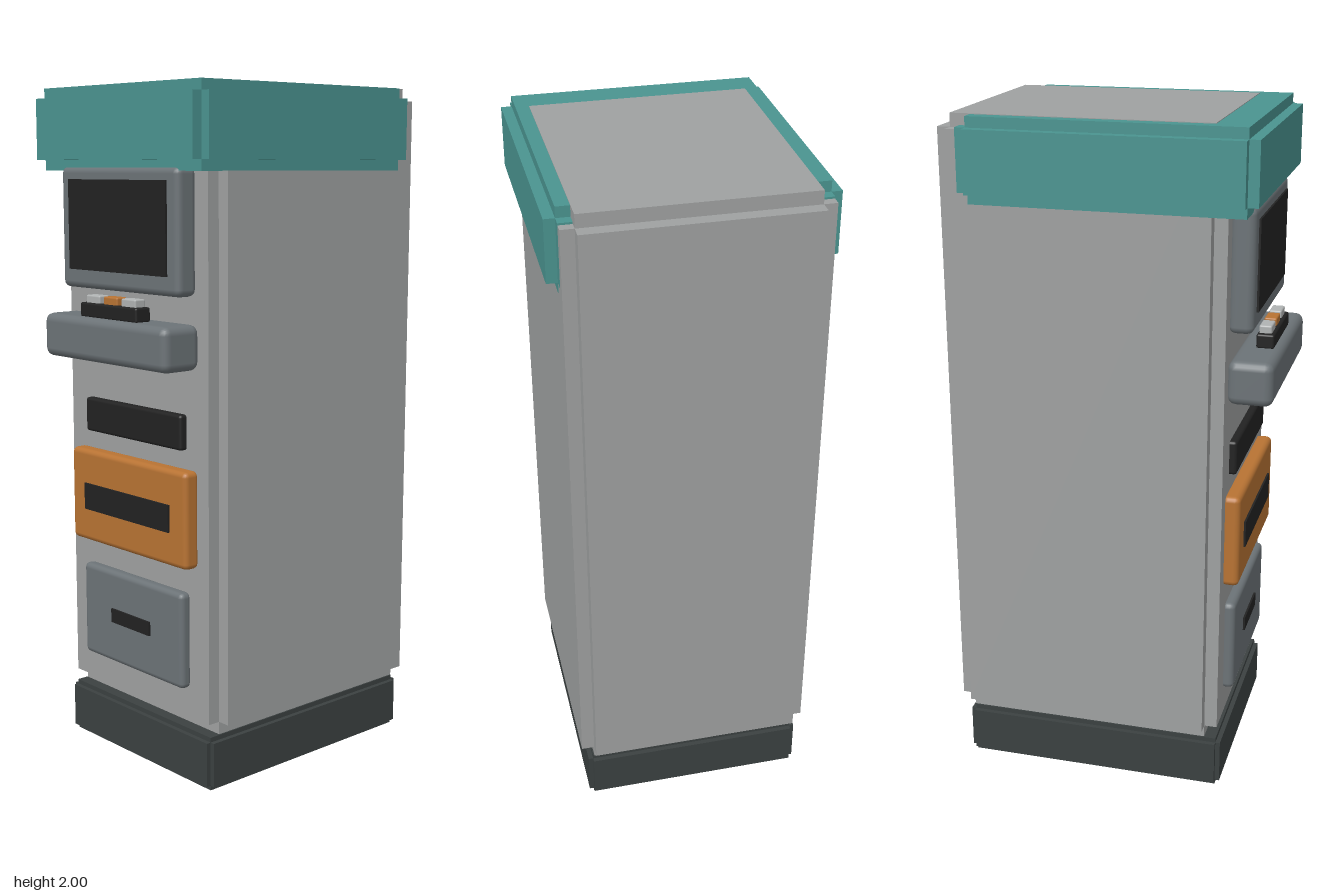
import * as THREE from 'three';
import { RoundedBoxGeometry } from 'three/addons/geometries/RoundedBoxGeometry.js';

const mat = (name, color) => Object.assign(new THREE.MeshStandardMaterial({ color }), { name });

export function createModel() {
  const root = new THREE.Group();
  root.name = 'serviceKiosk';
  const grey = mat('casing grey', 0x9fa1a1);
  const teal = mat('canopy teal', 0x4a9490);
  const steel = mat('panel grey', 0x6c7377);
  const orange = mat('tray orange', 0xb87333);
  const charcoal = mat('plinth charcoal', 0x3b4141);
  const black = mat('screen black', 0x222222);
  const pale = mat('button grey', 0xb0b3b3);

  // Box given by its limits on each axis; a radius rounds its edges
  function box(parent, name, material, [x0, x1], [y0, y1], [z0, z1], radius = 0) {
    const size = [x1 - x0, y1 - y0, z1 - z0];
    const geo = radius
      ? new RoundedBoxGeometry(...size, 2, radius)
      : new THREE.BoxGeometry(...size);
    const mesh = new THREE.Mesh(geo, material);
    mesh.name = name;
    mesh.position.set((x0 + x1) / 2, (y0 + y1) / 2, (z0 + z1) / 2);
    parent.add(mesh);
  }

  // Block with stepped edges: three crossing boxes, each full size on one axis
  function stepped(name, material, x, [y0, y1], [z0, z1], s) {
    const group = new THREE.Group();
    group.name = name;
    const [xi, yi, zi] = [[-x + s, x - s], [y0 + s, y1 - s], [z0 + s, z1 - s]];
    box(group, name + 'Sides', material, [-x, x], yi, zi);
    box(group, name + 'Core', material, xi, [y0, y1], zi);
    box(group, name + 'Faces', material, xi, yi, [z0, z1]);
    root.add(group);
  }

  stepped('plinth', charcoal, 0.334, [0, 0.16], [-0.443, 0.356], 0.014);
  stepped('cabinet', grey, 0.354, [0.16, 2], [-0.47, 0.344], 0.038);
  stepped('canopy', teal, 0.385, [1.76, 1.998], [-0.405, 0.431], 0.0305);

  // Display
  box(root, 'screenBezel', steel, [-0.268, 0.268], [1.42, 1.772], [0.34, 0.41], 0.02);
  box(root, 'screen', black, [-0.222, 0.222], [1.475, 1.735], [0.407, 0.416]);

  // Control shelf with keypad and buttons
  box(root, 'controlShelf', steel, [-0.283, 0.283], [1.217, 1.345], [0.342, 0.472], 0.025);
  box(root, 'keypad', black, [-0.13, 0.13], [1.343, 1.385], [0.395, 0.447], 0.006);
  [-1, 0, 1].forEach((i) => {
    const x = i * 0.082;
    box(root, 'button', i ? pale : orange, [x - 0.032, x + 0.032], [1.38, 1.407], [0.4, 0.437], 0.005);
  });

  // Slot, dispensing tray and service hatch
  box(root, 'cardSlot', black, [-0.222, 0.222], [0.985, 1.087], [0.335, 0.366], 0.009);
  box(root, 'dispenserTray', orange, [-0.268, 0.268], [0.65, 0.932], [0.335, 0.388], 0.016);
  box(root, 'dispenserOpening', black, [-0.197, 0.197], [0.75, 0.83], [0.385, 0.394]);
  box(root, 'serviceHatch', steel, [-0.233, 0.233], [0.286, 0.572], [0.335, 0.375], 0.016);
  box(root, 'hatchHandle', black, [-0.09, 0.09], [0.415, 0.457], [0.372, 0.381]);

  return root;
}
